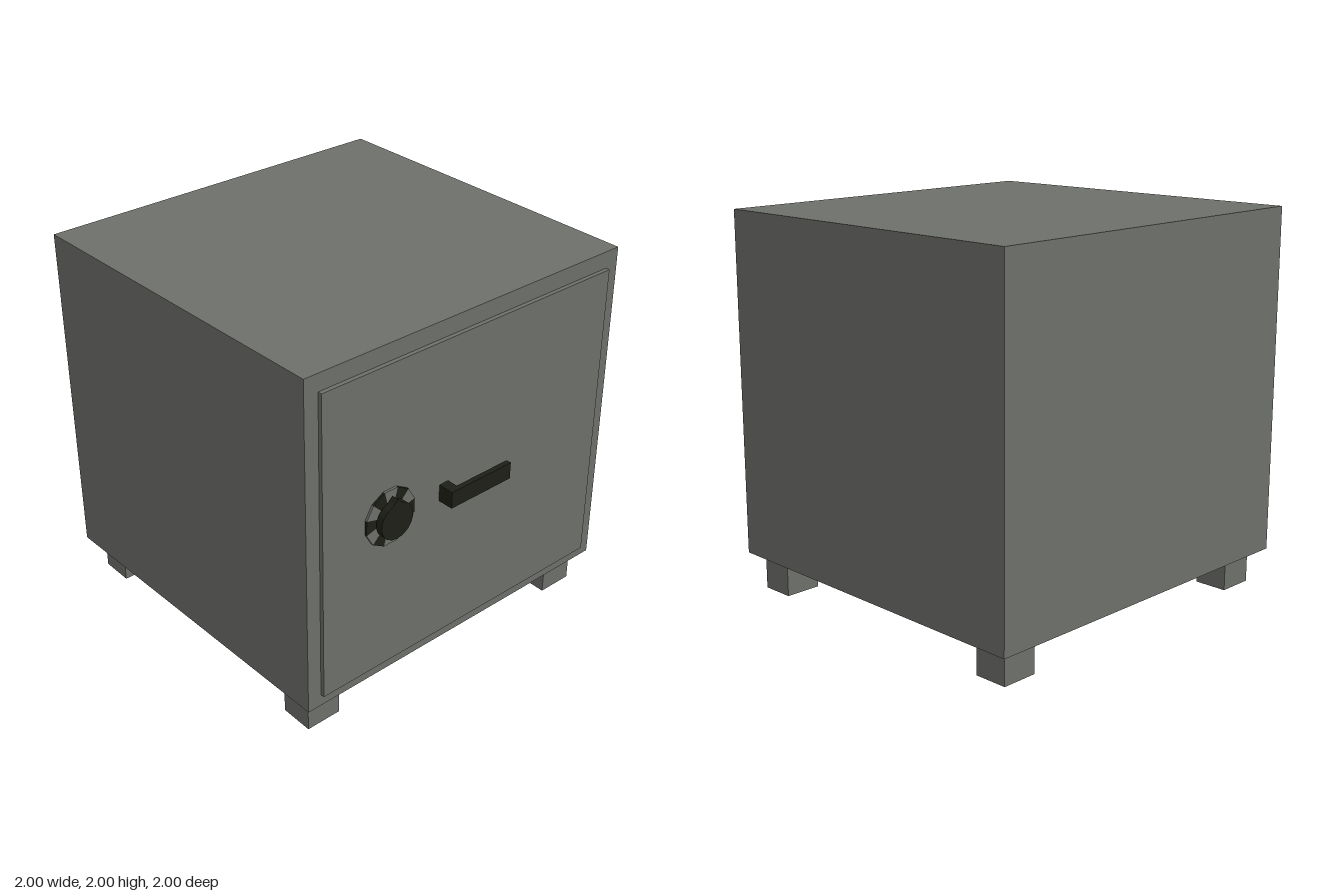
import * as THREE from 'three';

export function createModel() {
  const root = new THREE.Group();
  root.name = 'safe';
  const steel = new THREE.MeshStandardMaterial({ color: 0x6e706b, flatShading: true });
  const black = new THREE.MeshStandardMaterial({ color: 0x1f1f18, flatShading: true });

  const add = (parent, name, geometry, material) => {
    const mesh = new THREE.Mesh(geometry, material);
    mesh.name = name;
    parent.add(mesh);
    return mesh;
  };
  // box given by its lower and upper bounds on each axis
  const box = (x0, x1, y0, y1, z0, z1) =>
    new THREE.BoxGeometry(x1 - x0, y1 - y0, z1 - z0)
      .translate((x0 + x1) / 2, (y0 + y1) / 2, (z0 + z1) / 2);

  // body, narrowing slightly towards the door end
  const body = box(-1, 0.893, 0.18, 2, -1, 1);
  const p = body.attributes.position;
  for (let i = 0; i < p.count; i++) {
    if (p.getX(i) < 0) continue;
    p.setY(i, p.getY(i) > 1 ? 1.996 : 0.192);
    p.setZ(i, Math.sign(p.getZ(i)) * 0.982);
  }
  body.computeVertexNormals();
  add(root, 'body', body, steel);

  add(root, 'door', box(0.88, 0.915, 0.258, 1.907, -0.905, 0.905), steel);

  // four feet
  for (const x of [-0.84, 0.73])
    for (const z of [-0.827, 0.827])
      add(root, 'foot', box(x - 0.09, x + 0.09, 0, 0.19, z - 0.098, z + 0.098), steel);

  // combination dial: ring of alternating sectors, stem and pointed knob
  const dial = new THREE.Group();
  dial.name = 'dial';
  dial.position.set(0.915, 1.115, 0.51);
  root.add(dial);
  const step = Math.PI / 6;
  for (let i = 0; i < 12; i++) {
    const sector = new THREE.CylinderGeometry(0.152, 0.152, 0.012, 1, 1, false, (i - 0.5) * step, step)
      .rotateZ(-Math.PI / 2).translate(0.006, 0, 0);
    add(dial, 'dialSector', sector, i % 2 ? steel : black);
  }
  add(dial, 'dialStem',
    new THREE.CylinderGeometry(0.08, 0.08, 0.024, 12).rotateZ(-Math.PI / 2).translate(0.012, 0, 0), black);
  const outline = [new THREE.Vector2(0, 0.12)];
  for (let i = 0; i <= 16; i++) {
    const a = Math.PI / 2 + 0.28 + i / 16 * (Math.PI * 2 - 0.56);
    outline.push(new THREE.Vector2(Math.cos(a) * 0.097, Math.sin(a) * 0.097));
  }
  add(dial, 'dialKnob',
    new THREE.ExtrudeGeometry(new THREE.Shape(outline), { depth: 0.037, bevelEnabled: false })
      .rotateY(Math.PI / 2).translate(0.02, 0, 0), black);

  // L-shaped handle
  const handle = new THREE.Group();
  handle.name = 'handle';
  root.add(handle);
  add(handle, 'handleStem', box(0.91, 0.972, 1.055, 1.145, 0.137, 0.193), black);
  add(handle, 'handleBar', box(0.972, 1, 1.055, 1.145, -0.197, 0.193), black);

  return root;
}
